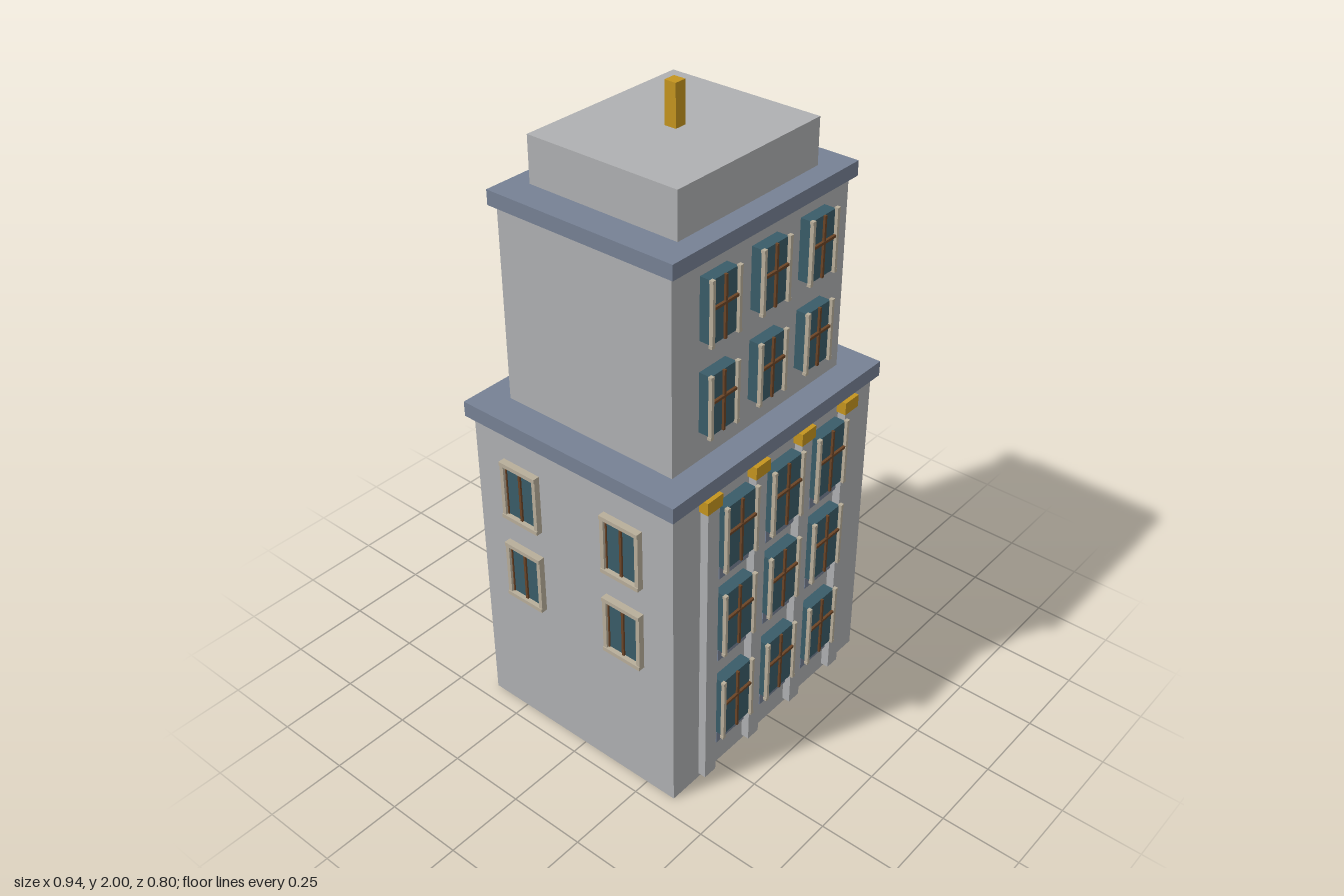
import * as THREE from 'three';

const mat = (name, color) => {
  const m = new THREE.MeshStandardMaterial({ color });
  m.name = name;
  return m;
};

export function createModel() {
  const stone = mat('stone', 0xafb0b2);
  const slate = mat('slate', 0x768194);
  const gold = mat('gold', 0xc4941f);
  const glass = mat('glass', 0x3a5c68);
  const trim = mat('trim', 0xb8ae9a);
  const wood = mat('wood', 0x6b4426);

  const tower = new THREE.Group();
  tower.name = 'tower';

  // Box given by its extents on each axis
  const box = (parent, name, material, [x0, x1], [y0, y1], [z0, z1]) => {
    const mesh = new THREE.Mesh(new THREE.BoxGeometry(x1 - x0, y1 - y0, z1 - z0), material);
    mesh.position.set((x0 + x1) / 2, (y0 + y1) / 2, (z0 + z1) / 2);
    mesh.name = name;
    parent.add(mesh);
    return mesh;
  };
  const mid = (c, w) => [c - w / 2, c + w / 2];

  // Stacked masses and cornices
  box(tower, 'lowerBlock', stone, mid(0, 0.896), [0, 1.04], [-0.383, 0.354]);
  box(tower, 'lowerCornice', slate, mid(0, 0.934), [1.04, 1.088], [-0.402, 0.371]);
  box(tower, 'upperBlock', stone, mid(0, 0.738), [1.088, 1.69], [-0.315, 0.284]);
  box(tower, 'upperCornice', slate, mid(0, 0.77), [1.69, 1.735], [-0.333, 0.302]);
  box(tower, 'roofBlock', stone, mid(0, 0.578), [1.735, 1.875], [-0.27, 0.236]);
  box(tower, 'spire', gold, mid(0, 0.038), [1.875, 2], [-0.037, 0.001]);

  // Pilasters with gilded capitals
  for (const x of [-0.311, -0.104, 0.104, 0.311]) {
    box(tower, 'pilaster', stone, mid(x, 0.048), [0.015, 1.0], [0.35, 0.38]);
    box(tower, 'capital', gold, mid(x, 0.063), [1.0, 1.04], [0.35, 0.385]);
  }

  // Projecting front window: glass bay, side jambs, mullion and transom
  const frontWindow = (x, y0, y1, w, wall, face, transomY) => {
    const g = new THREE.Group();
    g.name = 'frontWindow';
    box(g, 'glass', glass, mid(x, w), [y0, y1], [wall - 0.01, face - 0.01]);
    for (const s of [-1, 1]) {
      box(g, 'jamb', trim, mid(x + s * (w / 2 + 0.001), 0.01), [y0, y1], [face - 0.012, face]);
      for (const y of [y0, y1])
        box(g, 'jambEnd', trim, mid(x + s * (w / 2 + 0.002), 0.013), mid(y, 0.009), [face - 0.012, face]);
    }
    box(g, 'mullion', wood, mid(x, 0.008), [y0, y1], [face - 0.012, face - 0.003]);
    box(g, 'transom', wood, mid(x, w - 0.008), mid(transomY, 0.008), [face - 0.012, face - 0.002]);
    tower.add(g);
  };

  for (const x of [-0.208, 0, 0.208]) {
    for (const y of [0.148, 0.473, 0.776]) {
      frontWindow(x, y, y + 0.211, 0.128, 0.354, 0.402, y + 0.125);
      box(tower, 'spandrel', slate, mid(x, 0.13), [y - 0.042, y], [0.35, 0.372]);
    }
    for (const y of [1.18, 1.46]) frontWindow(x, y, y + 0.186, 0.106, 0.284, 0.332, y + 0.107);
  }

  // Framed windows on both side walls
  for (const s of [-1, 1]) {
    const span = (a, b) => (s > 0 ? [a, b] : [-b, -a]);
    for (const z of [0.177, -0.205]) {
      for (const y of [0.457, 0.745]) {
        const g = new THREE.Group();
        g.name = 'sideWindow';
        const h = 0.196, w = 0.138, t = 0.013;
        box(g, 'glass', glass, span(0.44, 0.455), [y + t, y + h - t], mid(z, w - 2 * t));
        for (const e of [-1, 1]) {
          box(g, 'sideFrame', trim, span(0.44, 0.467), [y + t, y + h - t], mid(z + e * (w - t) / 2, t));
          box(g, 'sashEdge', wood, span(0.44, 0.459), [y + t, y + h - t], mid(z + e * (w / 2 - t - 0.002), 0.004));
        }
        for (const fy of [y, y + h - t])
          box(g, 'crossFrame', trim, span(0.44, 0.47), [fy, fy + t], mid(z, w));
        box(g, 'mullion', wood, span(0.44, 0.461), [y + t, y + h - t], mid(z, 0.008));
        tower.add(g);
      }
    }
  }
  return tower;
}
